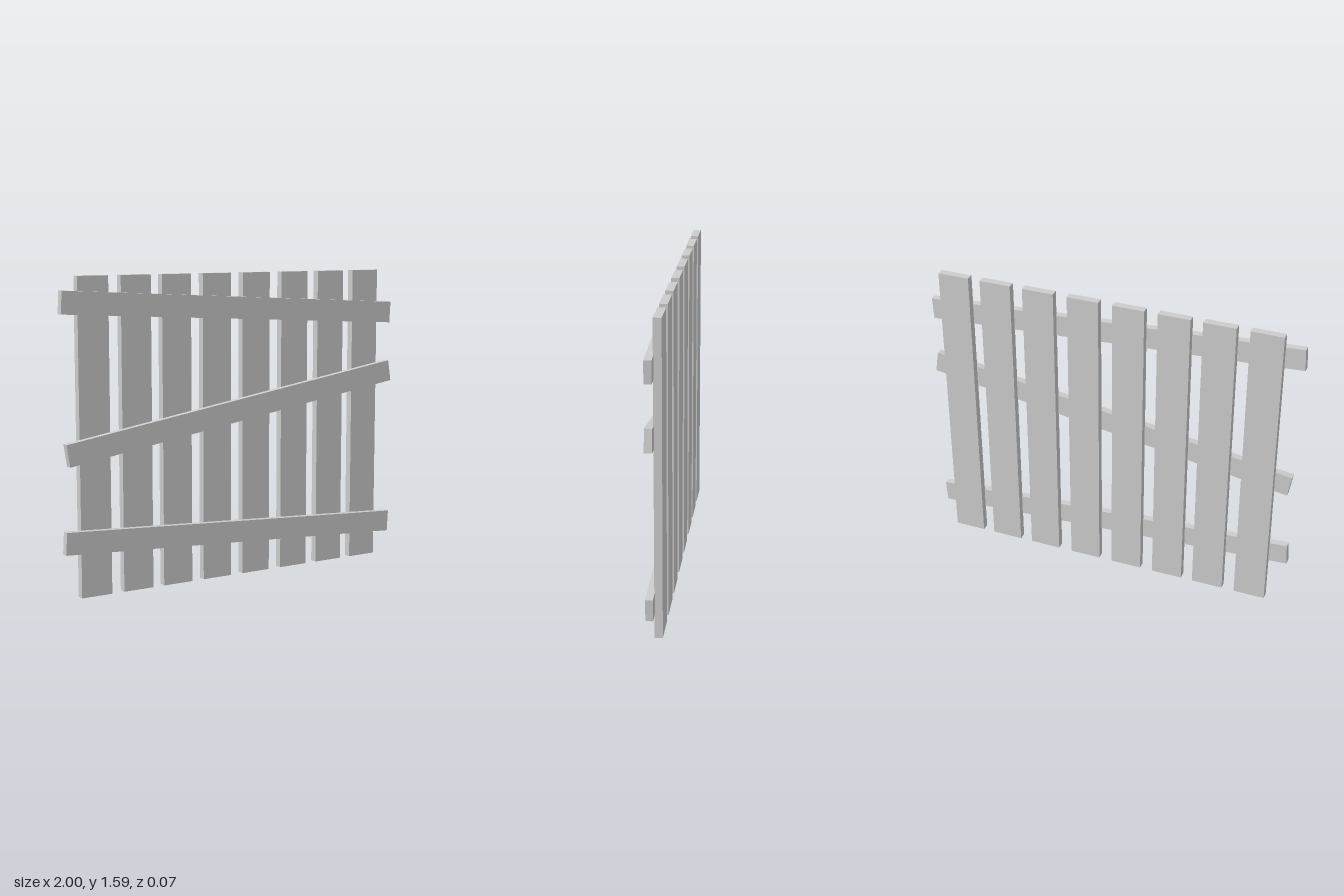
import * as THREE from 'three';

export function createModel() {
  const model = new THREE.Group();
  model.name = 'woodenFence';
  const wood = new THREE.MeshStandardMaterial({ color: 0xcccccc, flatShading: true });

  const addPlank = (name, width, height, depth, x, y, z, tilt = 0) => {
    const plank = new THREE.Mesh(new THREE.BoxGeometry(width, height, depth), wood);
    plank.name = name;
    plank.position.set(x, y, z);
    plank.rotation.z = tilt;
    model.add(plank);
  };

  // Upright boards, slightly unevenly spaced
  const boardCentres = [-0.813, -0.578, -0.348, -0.112, 0.128, 0.369, 0.603, 0.834];
  boardCentres.forEach((x, i) => {
    addPlank(`uprightBoard${i + 1}`, 0.167, 1.59, 0.04, x, 0.795, -0.017);
  });

  // Tilted rails nailed across the front
  const rails = [
    ['topRail', -0.006, 1.412, -0.055],
    ['middleRail', 0.007, 0.88, 0.157],
    ['bottomRail', 0, 0.238, -0.055],
  ];
  for (const [name, x, y, tilt] of rails) {
    addPlank(name, 1.985, 0.113, 0.037, x, y, 0.0185, tilt);
  }

  return model;
}
